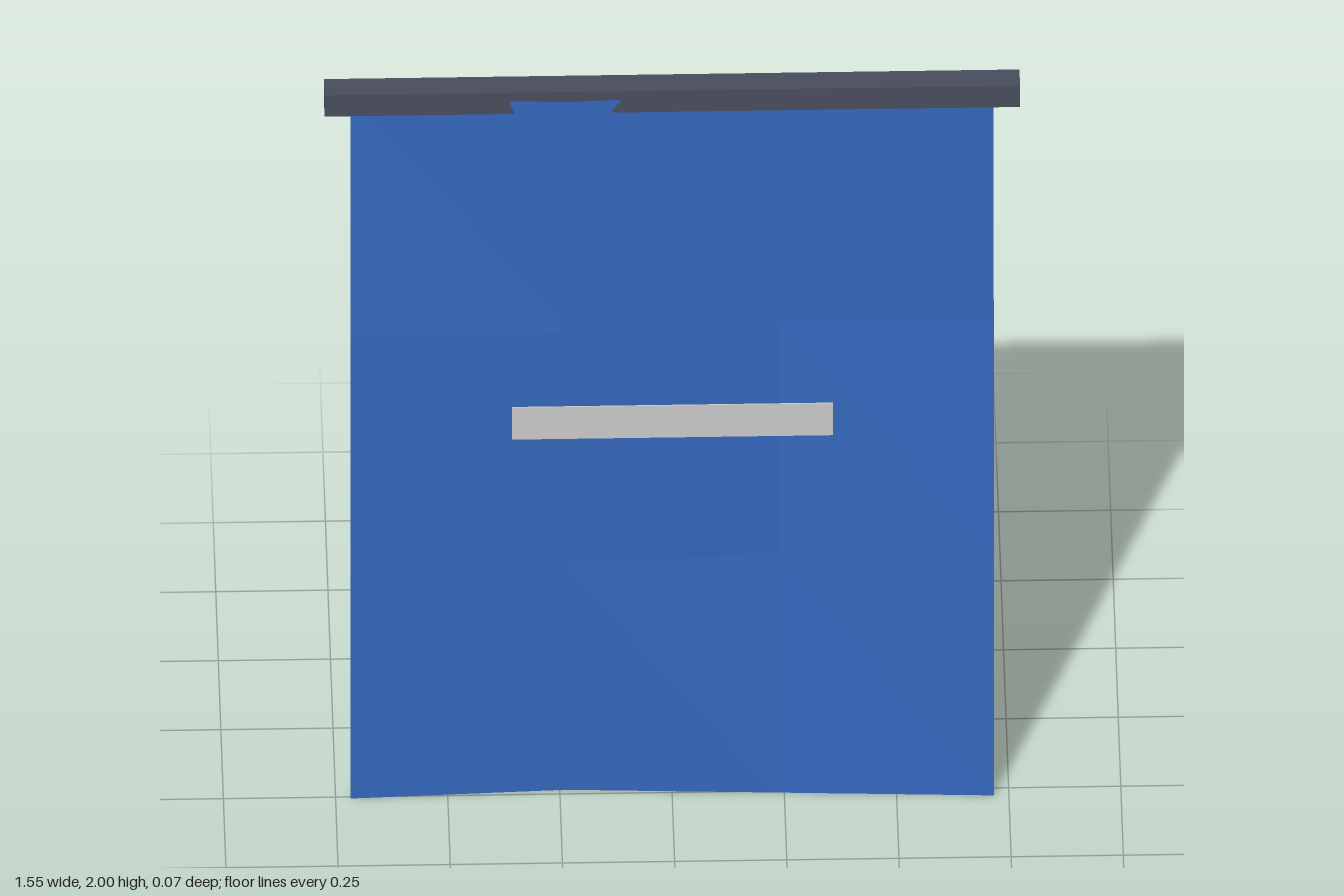
import * as THREE from 'three';

const clothBlue = new THREE.MeshStandardMaterial({ name: 'clothBlue', color: 0x3569bf, flatShading: true, side: THREE.DoubleSide });
const rodGrey = new THREE.MeshStandardMaterial({ name: 'rodGrey', color: 0x4a4e5d });
const stripeGrey = new THREE.MeshStandardMaterial({ name: 'stripeGrey', color: 0xcccccc });

function addPart(group, name, geometry, material, x, y, z) {
  const mesh = new THREE.Mesh(geometry, material);
  mesh.name = name;
  mesh.position.set(x, y, z);
  group.add(mesh);
}

// Hanging cloth: a 3 x 3 grid rippled by a slanted wave
function rippledCloth(width, height) {
  // Turned on its side so the facet diagonals run from top left to bottom right
  const geometry = new THREE.PlaneGeometry(height, width, 3, 3).rotateZ(Math.PI / 2);
  const p = geometry.attributes.position;
  for (let i = 0; i < p.count; i++) {
    const across = (p.getX(i) / width + 0.5) * 1.5 * Math.PI;
    const down = (0.5 - p.getY(i) / height) * Math.PI;
    p.setZ(i, 0.006 + 0.021 * Math.sin(across + down));
  }
  geometry.computeVertexNormals();
  return geometry;
}

export function createModel() {
  const model = new THREE.Group();
  model.name = 'hangingBanner';
  addPart(model, 'cloth', rippledCloth(1.434, 1.976), clothBlue, 0, 0.988, 0);
  addPart(model, 'topRod', new THREE.BoxGeometry(1.55, 0.06, 0.059), rodGrey, 0, 1.97, -0.008);
  addPart(model, 'stripe', new THREE.BoxGeometry(0.716, 0.09, 0.003), stripeGrey, 0, 1.075, 0.033);
  return model;
}
